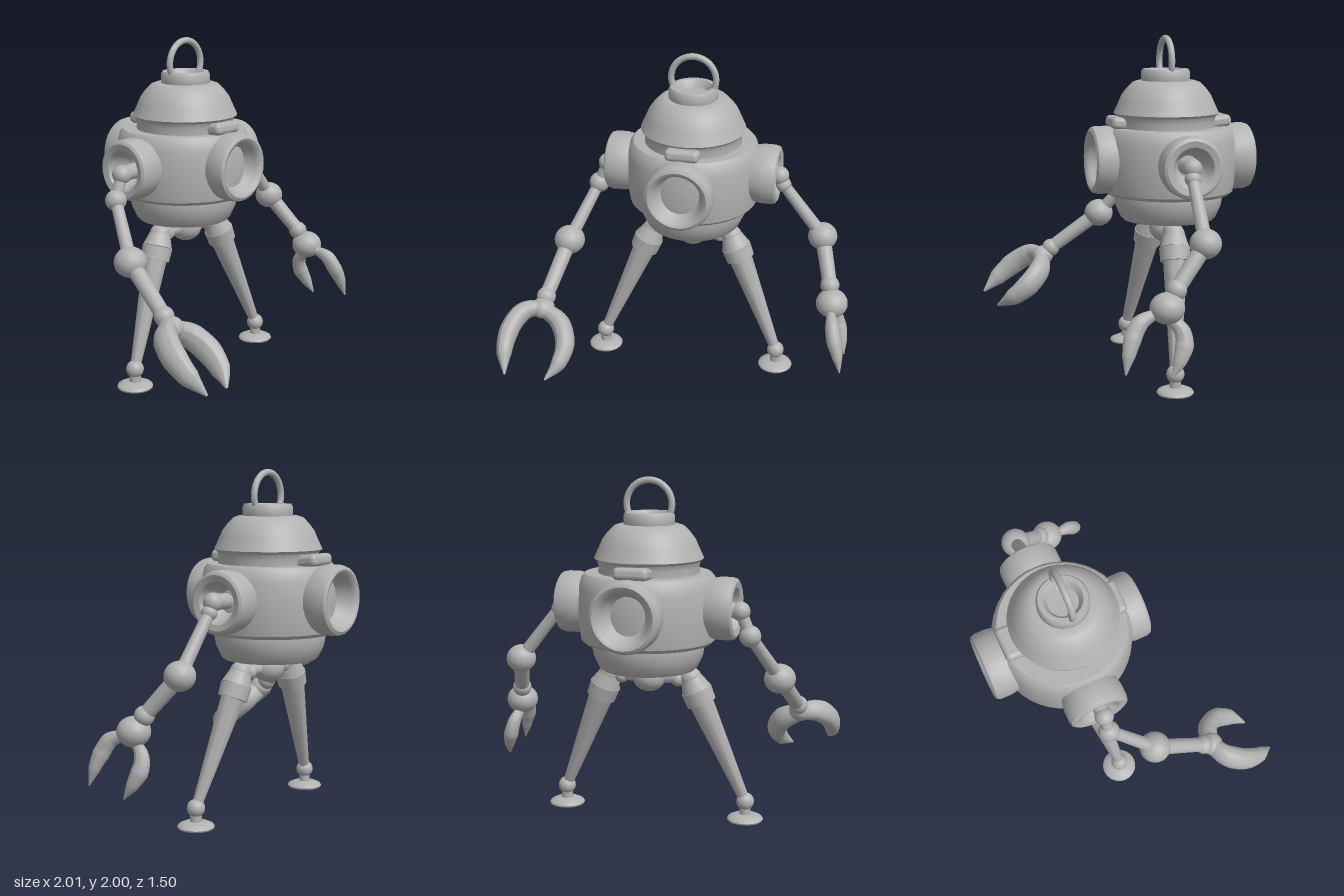
import * as THREE from 'three';
import { toCreasedNormals } from 'three/addons/utils/BufferGeometryUtils.js';
import { RoundedBoxGeometry } from 'three/addons/geometries/RoundedBoxGeometry.js';

const metal = new THREE.MeshStandardMaterial({ color: 0xb2b2b2 });
metal.name = 'greyMetal';
const CZ = -0.255; // depth of the body's axis
const V = (a) => new THREE.Vector3(...a);

function add(parent, name, geometry, pos = [0, 0, 0]) {
  const mesh = new THREE.Mesh(geometry, metal);
  mesh.name = name;
  mesh.position.set(...pos);
  parent.add(mesh);
  return mesh;
}

// Turned part with crisp edges, profile given as [radius, height]
function turned(points, segments = 40) {
  const pts = points.map(([r, y]) => new THREE.Vector2(r, y));
  return toCreasedNormals(new THREE.LatheGeometry(pts, segments), 0.6);
}

function ball(parent, name, pos, r, squash = 1) {
  const m = add(parent, name, new THREE.SphereGeometry(r, 24, 16), pos);
  m.scale.y = squash;
  return m;
}

// Tapered rod between two points
function rod(parent, name, a, b, ra, rb = ra, sides = 16) {
  const p = V(a), q = V(b), d = q.clone().sub(p);
  const m = add(parent, name, new THREE.CylinderGeometry(rb, ra, d.length(), sides));
  m.position.copy(p).add(q).multiplyScalar(0.5);
  m.quaternion.setFromUnitVectors(new THREE.Vector3(0, 1, 0), d.normalize());
  return m;
}

// Curved claw finger: a tube whose radius follows the curve, widened along one axis
function finger(parent, name, points, radii, axis, wide) {
  const curve = new THREE.CatmullRomCurve3(points.map(V));
  const n = 28, sides = 14;
  const geo = new THREE.TubeGeometry(curve, n, 1, sides);
  const pos = geo.attributes.position, ax = V(axis).normalize();
  const v = new THREE.Vector3(), c = new THREE.Vector3();
  for (let i = 0; i <= n; i++) {
    const t = i / n;
    curve.getPointAt(t, c);
    const s = t * (radii.length - 1), k = Math.min(Math.floor(s), radii.length - 2);
    const r = THREE.MathUtils.lerp(radii[k], radii[k + 1], s - k);
    for (let j = 0; j <= sides; j++) {
      const id = i * (sides + 1) + j;
      v.fromBufferAttribute(pos, id).sub(c).multiplyScalar(r);
      v.addScaledVector(ax, v.dot(ax) * (wide - 1)).add(c);
      pos.setXYZ(id, v.x, v.y, v.z);
    }
  }
  geo.computeVertexNormals();
  add(parent, name, geo);
  ball(parent, name + 'Root', points[0], radii[0]);
}

// Hollow round port facing +z, lip at the given reach from the axis
function port(parent, name, angle, reach, r, y, hole) {
  const holder = new THREE.Group();
  holder.name = name;
  holder.position.set(0, y, CZ);
  holder.rotation.y = angle;
  const geo = turned([[r * 0.86, reach - 0.22], [r * 0.97, reach - 0.13], [r, reach - 0.1],
    [r, reach - 0.035], [r * 0.96, reach - 0.01], [r * 0.87, reach], [hole + 0.015, reach - 0.008],
    [hole, reach - 0.03], [hole * 0.85, reach - 0.09], [hole * 0.55, reach - 0.13], [0, reach - 0.14]], 32);
  add(holder, name + 'Shell', geo).rotation.x = Math.PI / 2;
  parent.add(holder);
}

function createModel() {
  const model = new THREE.Group();
  model.name = 'walkingRobot';

  // Body
  const body = new THREE.Group();
  body.name = 'body';
  model.add(body);
  add(body, 'lowerBowl', turned([[0, 0.97], [0.19, 0.97], [0.22, 0.91], [0.27, 0.91], [0.285, 0.925],
    [0.315, 0.99], [0.325, 1.05], [0.32, 1.08]]), [0, 0, CZ]);
  add(body, 'barrel', turned([[0.28, 1.065], [0.365, 1.065], [0.385, 1.085], [0.398, 1.17], [0.4, 1.27],
    [0.395, 1.38], [0.38, 1.44], [0.36, 1.463], [0.26, 1.463]]), [0, 0, CZ]);
  add(body, 'dome', turned([[0.29, 1.45], [0.287, 1.5], [0.295, 1.53], [0.312, 1.545], [0.305, 1.56],
    [0.28, 1.615], [0.265, 1.65], [0.235, 1.69], [0.2, 1.725], [0.17, 1.735], [0.12, 1.735]]), [0, 0, -0.24]);
  add(body, 'topCollar', turned([[0.14, 1.72], [0.145, 1.735], [0.145, 1.785], [0.135, 1.802],
    [0.11, 1.802], [0.1, 1.79], [0.085, 1.76], [0, 1.755]]), [0, 0, -0.235]);
  add(body, 'liftingRing', new THREE.TorusGeometry(0.133, 0.019, 14, 48), [0, 1.848, -0.235]);

  // Ports all round, and tabs above the front and back ones
  port(body, 'frontPort', 0, 0.477, 0.2, 1.275, 0.14);
  port(body, 'backPort', Math.PI, 0.495, 0.2, 1.275, 0.14);
  for (const s of [1, -1]) {
    port(body, s > 0 ? 'leftShoulderPort' : 'rightShoulderPort', s * Math.PI / 2, 0.52, 0.178, 1.275, 0.105);
    const tab = add(body, s > 0 ? 'frontTab' : 'backTab', new RoundedBoxGeometry(0.2, 0.07, 0.16, 4, 0.028),
      [0, 1.49, CZ + s * 0.285]);
    tab.rotation.x = -s * 0.12;
  }

  // Hips and legs
  const hip = [0, 0.855, -0.24];
  rod(model, 'hipPost', [0, 0.99, -0.245], hip, 0.15, 0.07, 20);
  ball(model, 'hipBall', hip, 0.098, 0.9);
  for (const s of [1, -1]) {
    const leg = new THREE.Group();
    leg.name = s > 0 ? 'leftLeg' : 'rightLeg';
    model.add(leg);
    const top = [s * 0.245, 0.855, -0.222], mid = [s * 0.305, 0.71, -0.21], ankle = [s * 0.555, 0.115, -0.14];
    rod(leg, 'hipRod', hip, top, 0.036);
    ball(leg, 'hipJoint', [s * 0.17, 0.845, -0.23], 0.042);
    ball(leg, 'thighBall', top, 0.062);
    rod(leg, 'thighTop', top, [s * 0.275, 0.785, -0.215], 0.062, 0.087, 20);
    rod(leg, 'thighCollar', [s * 0.275, 0.785, -0.215], mid, 0.09, 0.086, 20);
    rod(leg, 'shin', mid, ankle, 0.072, 0.03, 8);
    ball(leg, 'ankleBall', ankle, 0.052);
    rod(leg, 'anklePin', ankle, [s * 0.555, 0.03, -0.14], 0.033);
    add(leg, 'foot', turned([[0, 0], [0.1, 0], [0.106, 0.01], [0.1, 0.02], [0.07, 0.034], [0, 0.044]], 28),
      [s * 0.555, 0, -0.14]);
  }

  // Arms: shoulder, upper joint, elbow, wrist, palm
  const arm = (name, [shoulder, joint, elbow, wrist, palm], elbowR, palmR) => {
    const g = new THREE.Group();
    g.name = name;
    model.add(g);
    rod(g, 'shoulderRod', [Math.sign(elbow[0]) * 0.36, 1.275, -0.24], shoulder, 0.045);
    ball(g, 'shoulderBall', shoulder, 0.055);
    rod(g, 'shoulderLink', shoulder, joint, 0.035);
    ball(g, 'upperJoint', joint, name === 'rightArm' ? 0.062 : 0.046);
    rod(g, 'upperArm', joint, elbow, 0.034, 0.04);
    ball(g, 'elbow', elbow, elbowR, 0.94);
    rod(g, 'forearm', elbow, wrist, 0.048, 0.043);
    ball(g, 'wrist', wrist, 0.057);
    rod(g, 'wristLink', wrist, palm, 0.045);
    ball(g, 'palm', palm, palmR, 0.9);
    return g;
  };

  // Right arm reaches forward with a wide open claw
  const right = arm('rightArm', [[-0.535, 1.26, -0.24], [-0.59, 1.12, -0.235], [-0.72, 0.83, 0.005],
    [-0.78, 0.6, 0.315], [-0.785, 0.55, 0.37]], 0.093, 0.07);
  const flat = [0.28, 0.77, 0.57];
  finger(right, 'outerFinger', [[-0.81, 0.55, 0.375], [-0.885, 0.545, 0.42], [-0.938, 0.49, 0.51],
    [-0.947, 0.405, 0.62], [-0.912, 0.3, 0.742]], [0.045, 0.058, 0.058, 0.045, 0.005], flat, 1.3);
  finger(right, 'innerFinger', [[-0.765, 0.535, 0.375], [-0.675, 0.485, 0.405], [-0.618, 0.4, 0.49],
    [-0.63, 0.32, 0.59], [-0.69, 0.255, 0.685]], [0.045, 0.058, 0.058, 0.045, 0.005], flat, 1.3);

  // Left arm hangs outward with a small pincer
  const left = arm('leftArm', [[0.525, 1.28, -0.24], [0.55, 1.225, -0.235], [0.8, 0.91, -0.23],
    [0.877, 0.685, -0.045], [0.9, 0.595, 0.012]], 0.088, 0.095);
  finger(left, 'frontFinger', [[0.905, 0.565, 0.09], [0.922, 0.53, 0.165], [0.938, 0.47, 0.205],
    [0.965, 0.39, 0.235], [0.992, 0.275, 0.262]], [0.03, 0.048, 0.05, 0.035, 0.004], [1, 0, 0], 0.85);
  finger(left, 'backFinger', [[0.905, 0.53, -0.01], [0.922, 0.48, -0.06], [0.942, 0.41, -0.072],
    [0.968, 0.335, -0.045], [0.992, 0.24, 0.008]], [0.03, 0.045, 0.052, 0.036, 0.004], [1, 0, 0], 0.85);

  return model;
}

export { createModel };
